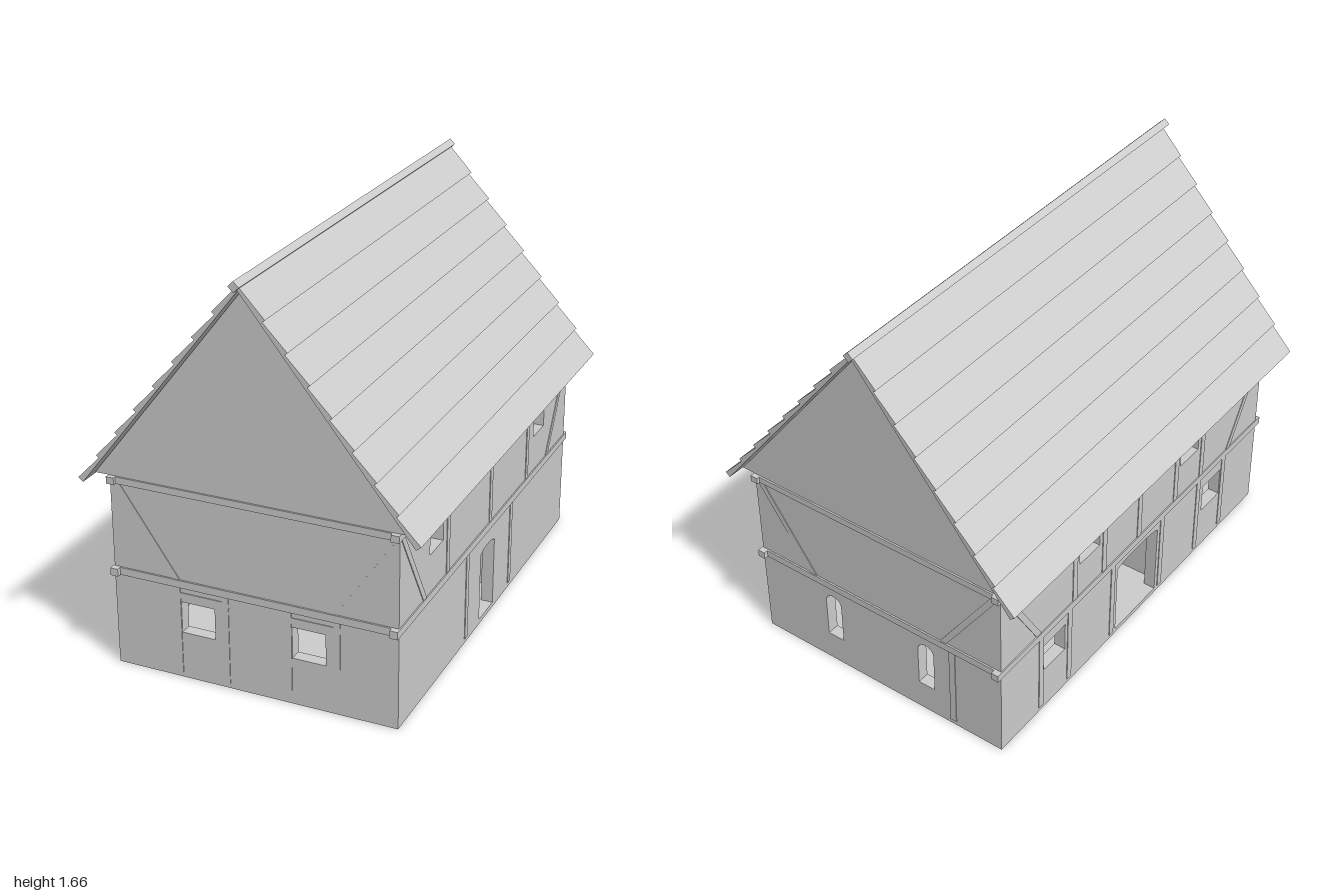
import * as THREE from 'three';

const mat = new THREE.MeshStandardMaterial({ color: 0xcccccc, flatShading: true, side: THREE.DoubleSide });
const HX = 0.583, HZ = 0.925, T = 0.05, WALL_TOP = 0.79;

function add(parent, name, geo, x = 0, y = 0, z = 0) {
  const m = new THREE.Mesh(geo, mat);
  m.name = name;
  m.position.set(x, y, z);
  parent.add(m);
  return m;
}

// box given by its limits on each axis
function block(parent, name, x0, x1, y0, y1, z0, z1) {
  return add(parent, name, new THREE.BoxGeometry(x1 - x0, y1 - y0, z1 - z0),
    (x0 + x1) / 2, (y0 + y1) / 2, (z0 + z1) / 2);
}

function polygon(pts) {
  return new THREE.Shape(pts.map(p => new THREE.Vector2(p[0], p[1])));
}

function extrude(shape, depth) {
  return new THREE.ExtrudeGeometry(shape, { depth, bevelEnabled: false, curveSegments: 8 });
}

// rectangular opening, with an arched head when rise > 0
function opening([u0, u1, v0, v1, rise = 0]) {
  const p = new THREE.Path();
  p.moveTo(u0, v0);
  p.lineTo(u1, v0);
  p.lineTo(u1, v1 - rise);
  if (rise) p.absellipse((u0 + u1) / 2, v1 - rise, (u1 - u0) / 2, rise, 0, Math.PI, false);
  else p.lineTo(u0, v1);
  p.lineTo(u0, v0);
  return p;
}

// one wall with openings and thin, nearly flush timbers; u runs right as seen from outside
function wall(name, half, dist, turn, { holes, lowPosts, highPosts, rails = [], brace }) {
  const g = new THREE.Group();
  g.name = name;
  g.rotation.y = turn;
  const s = polygon([[-half, 0], [half, 0], [half, WALL_TOP], [-half, WALL_TOP]]);
  s.holes = holes.map(opening);
  add(g, name + 'Panel', extrude(s, T), 0, 0, dist - T);
  const z0 = dist - 0.01, z1 = dist + 0.003, w = 0.014;
  for (const u of lowPosts) block(g, 'lowerPost', u - w, u + w, 0.02, 0.39, z0, z1);
  for (const u of highPosts) block(g, 'upperPost', u - w, u + w, 0.415, 0.77, z0, z1);
  for (const [u0, u1, v] of rails) block(g, 'rail', u0, u1, v, v + 0.025, z0, z1);
  for (const k of [-1, 1]) {
    const a = [k * (half - 0.01), 0.77], b = [k * brace, 0.415];
    const strip = polygon([a, [a[0] - k * 0.03, a[1]], [b[0] - k * 0.03, b[1]], b]);
    add(g, 'cornerBrace', extrude(strip, z1 - z0), 0, 0, z0);
  }
  return g;
}

export function createModel() {
  const house = new THREE.Group();
  house.name = 'timberHouse';

  // outer walls
  house.add(wall('frontWall', HX, HZ, 0, {
    holes: [[-0.3, -0.16, 0.195, 0.325], [0.16, 0.295, 0.195, 0.325]],
    lowPosts: [-0.316, -0.115, 0.144, 0.34], highPosts: [],
    rails: [[-0.33, -0.1, 0.34], [0.13, 0.355, 0.34]], brace: 0.33,
  }));
  house.add(wall('backWall', HX, HZ, Math.PI, {
    holes: [[-0.265, -0.19, 0.13, 0.345, 0.037], [0.19, 0.265, 0.13, 0.345, 0.037]],
    lowPosts: [0.355], highPosts: [], brace: 0.33,
  }));
  house.add(wall('rightWall', HZ, HX, Math.PI / 2, {
    holes: [[-0.095, 0.06, 0.02, 0.325, 0.02], [-0.64, -0.51, 0.575, 0.71], [0.505, 0.635, 0.575, 0.71]],
    lowPosts: [-0.245, 0.25], highPosts: [-0.46, 0, 0.43], brace: 0.7,
  }));
  house.add(wall('leftWall', HZ, HX, -Math.PI / 2, {
    holes: [[-0.147, 0.147, 0.02, 0.36, 0.02], [-0.65, -0.51, 0.2, 0.33], [0.5, 0.64, 0.2, 0.33],
      [-0.42, -0.285, 0.575, 0.71], [0.3, 0.435, 0.575, 0.71]],
    lowPosts: [-0.67, -0.48, -0.18, 0.18, 0.46, 0.66], highPosts: [-0.45, -0.25, 0, 0.27, 0.47], brace: 0.7,
  }));

  // floors and hallway partitions
  const ix = HX - T, iz = HZ - T;
  block(house, 'groundFloor', -ix, ix, 0, 0.02, -iz, iz);
  block(house, 'upperFloor', -ix, ix, 0.385, 0.415, -iz, iz);
  block(house, 'hallStep', -0.14, 0.34, 0.02, 0.085, -0.15, 0.15);
  for (const k of [-1, 1]) block(house, 'partition', -ix, ix, 0.02, 0.385, k * 0.21 - 0.015, k * 0.21 + 0.015);

  // storey beams: long ones run past the gable walls, cross beams lie between them
  for (const [y0, y1, zEnd] of [[0.387, 0.418, 0.95], [0.768, 0.796, 0.945]]) {
    for (const k of [-1, 1]) {
      const xs = [k * 0.556, k * 0.588].sort((a, b) => a - b);
      block(house, 'longBeam', xs[0], xs[1], y0, y1, -zEnd, zEnd);
      const zs = [k * 0.9, k * 0.932].sort((a, b) => a - b);
      block(house, 'crossBeam', -0.556, 0.556, y0, y1, zs[0], zs[1]);
    }
  }

  // attic with both gables
  const attic = polygon([[-0.645, 0.796], [0.645, 0.796], [0, 1.618]]);
  add(house, 'gables', extrude(attic, 2 * HZ), 0, 0, -HZ);

  // roof: chevron section with eight overlapping courses on each slope
  const eave = new THREE.Vector2(0.665, 0.775), apex = new THREE.Vector2(0, 1.62);
  const normal = new THREE.Vector2(apex.y - eave.y, eave.x).normalize();
  const side = [];
  for (let i = 0; i < 8; i++) {
    for (const [f, off] of [[i / 8, 0.025], [(i + 1) / 8, 0.011]]) {
      const p = eave.clone().lerp(apex, f).addScaledVector(normal, off);
      side.push(i === 7 && f === 1 ? [0, 1.64] : [p.x, p.y]);
    }
  }
  const mirrored = side.slice(0, -1).reverse().map(([x, y]) => [-x, y]);
  const section = [[eave.x, eave.y], ...side, ...mirrored, [-eave.x, eave.y], [apex.x, apex.y]];
  add(house, 'roof', extrude(polygon(section), 1.96), 0, 0, -0.98);

  // ridge cap
  const ridge = add(house, 'ridgeBeam', new THREE.BoxGeometry(0.03, 0.03, 2), -0.005, 1.64, 0);
  ridge.rotation.z = Math.PI / 4;

  return house;
}
